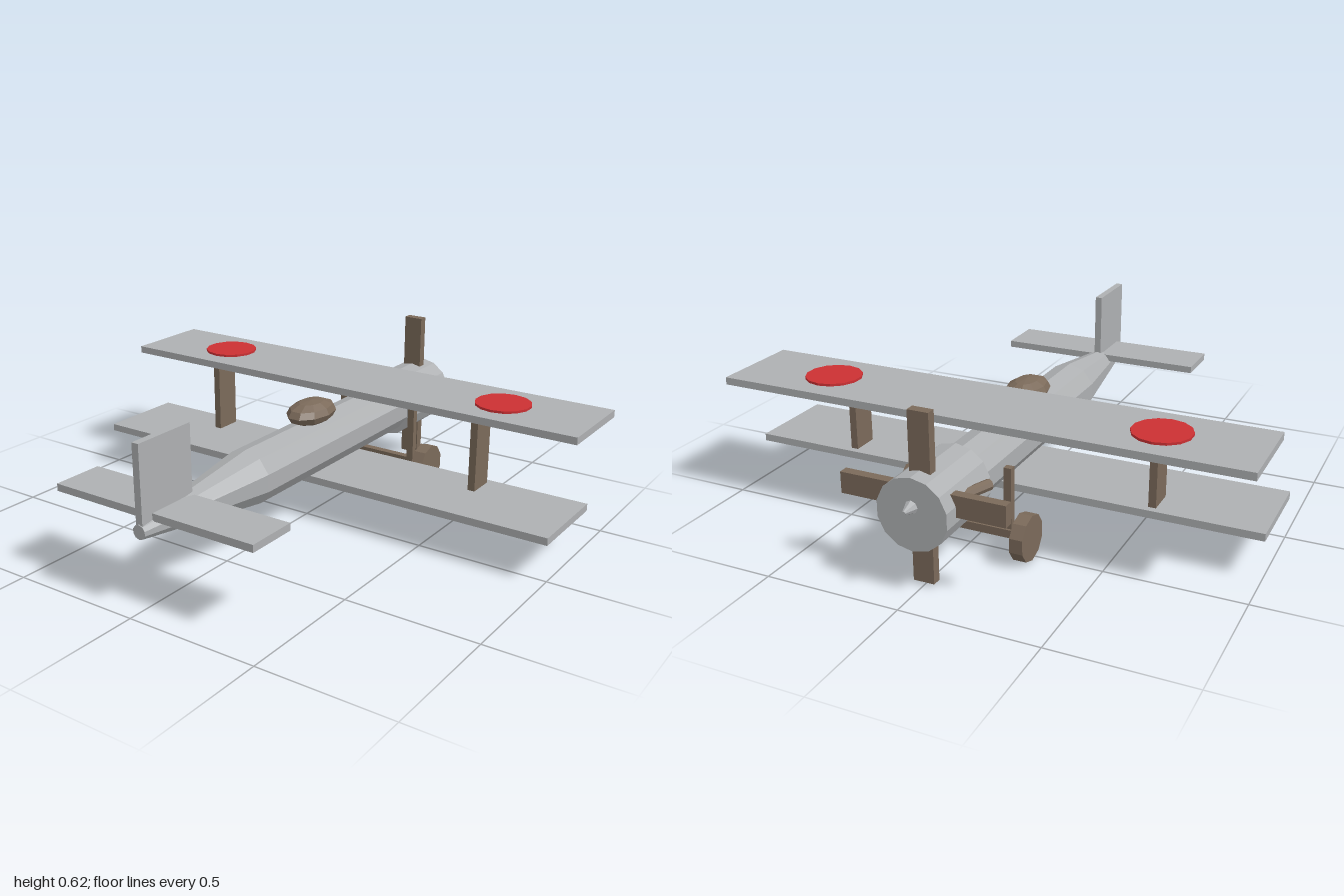
import * as THREE from 'three';

const mat = (name, color) => {
  const m = new THREE.MeshStandardMaterial({ color, flatShading: true });
  m.name = name;
  return m;
};

export function createModel() {
  const plane = new THREE.Group();
  plane.name = 'biplane';
  const grey = mat('grey', 0xaeb0b2);
  const brown = mat('brown', 0x7b6a5a);
  const red = mat('red', 0xcc3033);

  const add = (name, geometry, material, x, y, z) => {
    const mesh = new THREE.Mesh(geometry, material);
    mesh.name = name;
    mesh.position.set(x, y, z);
    plane.add(mesh);
    return mesh;
  };
  const box = (name, material, size, pos) =>
    add(name, new THREE.BoxGeometry(...size), material, ...pos);
  // Cylinder along z, with a radius for each end
  const barrel = (name, rFront, rBack, sides, z0, z1, y) =>
    add(name, new THREE.CylinderGeometry(rBack, rFront, z1 - z0, sides).rotateX(Math.PI / 2),
      grey, 0, y, (z0 + z1) / 2);

  // Body, nose at -z
  barrel('fuselage', 0.105, 0.105, 10, -0.62, 0.38, 0.281);
  barrel('tailCone', 0.105, 0.026, 10, 0.38, 0.937, 0.281);
  barrel('cowling', 0.13, 0.13, 14, -0.891, -0.59, 0.285);
  barrel('spinner', 0.006, 0.026, 8, -0.937, -0.885, 0.313);

  // Cockpit
  add('cockpit', new THREE.SphereGeometry(1, 10, 6).scale(0.08, 0.047, 0.123), brown, 0, 0.414, -0.03);

  // Wings and tail surfaces
  box('upperWing', grey, [2, 0.028, 0.352], [0, 0.46, -0.352]);
  box('lowerWing', grey, [2, 0.028, 0.352], [0, 0.158, -0.156]);
  box('tailplane', grey, [0.835, 0.027, 0.193], [0, 0.319, 0.79]);
  box('fin', grey, [0.027, 0.283, 0.246], [0, 0.442, 0.811]);

  // Propeller
  box('propellerVertical', brown, [0.077, 0.605, 0.035], [0, 0.314, -0.813]);
  box('propellerHorizontal', brown, [0.605, 0.077, 0.035], [0, 0.314, -0.813]);

  // Axle
  box('axle', brown, [0.44, 0.03, 0.03], [0, 0.089, -0.53]);

  // Parts on both sides
  for (const [side, s] of [['left', 1], ['right', -1]]) {
    box(side + 'WingStrut', brown, [0.028, 0.29, 0.105], [s * 0.6, 0.31, -0.253]);
    add(side + 'Roundel', new THREE.CylinderGeometry(0.106, 0.106, 0.009, 14), red, s * 0.639, 0.4785, -0.352);
    box(side + 'GearLeg', brown, [0.028, 0.25, 0.026], [s * 0.163, 0.206, -0.523]);
    add(side + 'Wheel', new THREE.CylinderGeometry(0.085, 0.085, 0.049, 10).rotateZ(Math.PI / 2),
      brown, s * 0.229, 0.085, -0.53).rotation.x = Math.PI / 2;
    // Exhaust pipe, splayed outward towards the back
    add(side + 'Exhaust', new THREE.CylinderGeometry(0.02, 0.02, 0.125, 8).rotateX(Math.PI / 2),
      brown, s * 0.128, 0.315, -0.7).rotation.y = s * 0.36;
  }
  return plane;
}
